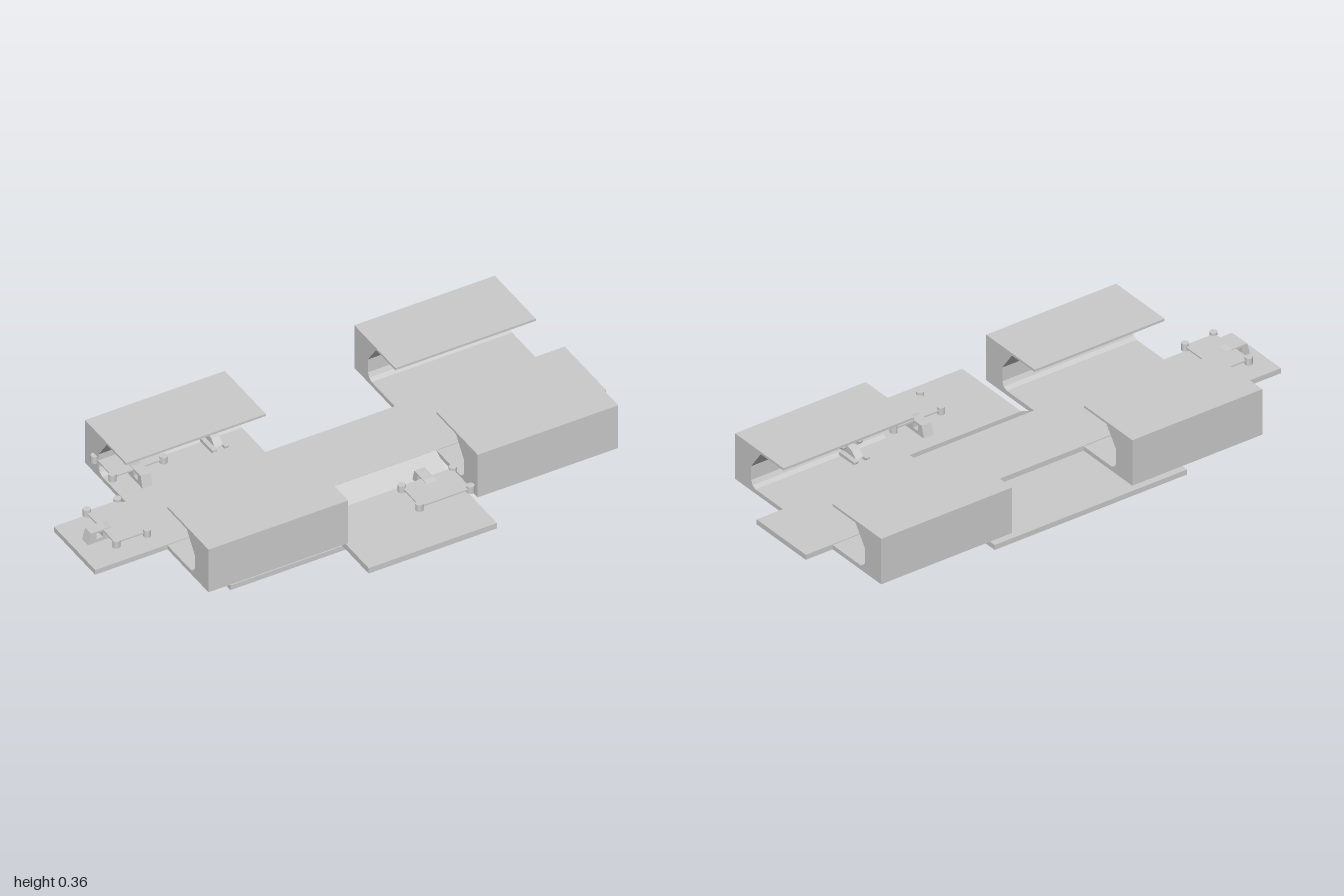
import * as THREE from 'three';

const mat = new THREE.MeshStandardMaterial({ color: 0xcccccc, flatShading: true });
const smooth = new THREE.MeshStandardMaterial({ color: 0xcccccc });

function add(parent, name, geometry, x = 0, y = 0, z = 0, material = mat) {
  const mesh = new THREE.Mesh(geometry, material);
  mesh.name = name;
  mesh.position.set(x, y, z);
  parent.add(mesh);
  return mesh;
}

// Box given by its limits
function slab(parent, name, x0, x1, y0, y1, z0, z1) {
  return add(parent, name, new THREE.BoxGeometry(x1 - x0, y1 - y0, z1 - z0),
    (x0 + x1) / 2, (y0 + y1) / 2, (z0 + z1) / 2);
}

// Profile of [z, y] points extruded along x, from x0 to x1
function prism(points, x0, x1) {
  const shape = new THREE.Shape(points.map(([z, y]) => new THREE.Vector2(z, y)));
  const g = new THREE.ExtrudeGeometry(shape, { depth: x1 - x0, bevelEnabled: false });
  g.rotateY(-Math.PI / 2);
  g.translate(x1, 0, 0);
  return g;
}

// Four-rotor flyer, nose towards +z
function makeDrone() {
  const drone = new THREE.Group();
  drone.name = 'drone';
  slab(drone, 'framePlate', -0.1, 0.1, 0.036, 0.042, -0.065, 0.065);
  const hole = new THREE.Path([[0.092, 0.014], [0.092, 0.037], [0.066, 0.037], [0.066, 0.014]]
    .map(([z, y]) => new THREE.Vector2(z, y)));
  const side = new THREE.Shape([[0.125, 0], [0.113, 0.045], [0.05, 0.045], [-0.01, 0.036],
    [-0.025, 0.014], [-0.012, 0]].map(([z, y]) => new THREE.Vector2(z, y)));
  side.holes.push(hole);
  const body = new THREE.ExtrudeGeometry(side, { depth: 0.04, bevelEnabled: false });
  body.rotateY(-Math.PI / 2);
  add(drone, 'body', body, 0.02);
  for (const x of [-0.1, 0.1]) {
    for (const z of [-0.06, 0.06]) {
      add(drone, 'rotorPod', new THREE.CylinderGeometry(0.014, 0.014, 0.028, 12), x, 0.038, z);
    }
  }
  return drone;
}

// Small shuttle, nose towards -z and twin engines at +z
function makeShuttle() {
  const shuttle = new THREE.Group();
  shuttle.name = 'shuttle';
  add(shuttle, 'hull', prism([[-0.038, 0.012], [0.045, 0.012], [0.05, 0.03], [0.02, 0.044],
    [-0.015, 0.036]], -0.016, 0.016));
  for (const s of [-1, 1]) {
    const engine = new THREE.CapsuleGeometry(0.013, 0.03, 5, 12);
    engine.rotateX(Math.PI / 2);
    add(shuttle, 'engine', engine, s * 0.034, 0.05, 0.025, smooth);
    slab(shuttle, 'engineStrut', s * 0.024 - 0.012, s * 0.024 + 0.012, 0.032, 0.046, 0.01, 0.035);
    add(shuttle, 'skid', prism([[-0.053, 0.008], [-0.048, 0.003], [0.03, 0], [0.04, 0.008],
      [0.03, 0.014], [-0.053, 0.014]], s * 0.024 - 0.009, s * 0.024 + 0.009));
  }
  return shuttle;
}

export function createModel() {
  const model = new THREE.Group();
  model.name = 'landingStation';

  // Base plate and long central deck
  slab(model, 'basePlate', -0.53, 0.28, 0, 0.02, -0.307, 0.178);
  slab(model, 'mainDeck', -1, 1, 0.178, 0.198, -0.205, 0.075);

  // Lower front platform with its ramp
  add(model, 'frontPlatform', prism([[0.485, 0.135], [0.485, 0.158], [0.148, 0.158],
    [0.075, 0.197], [0.075, 0.178], [0.122, 0.155], [0.122, 0.135]], -0.167, 0.335));

  // Four hangar bays, mirrored about the deck's centre line
  const bay = [[0.14, 0.178], [0.417, 0.178], [0.417, 0.36], [0.14, 0.36], [0.14, 0.351],
    [0.27, 0.351], [0.325, 0.275], [0.325, 0.22], [0.317, 0.203], [0.3, 0.195], [0.14, 0.195]];
  for (const [x0, x1] of [[-0.717, -0.17], [0.337, 0.887]]) {
    for (const s of [1, -1]) {
      const points = bay.map(([z, y]) => [s * z - 0.065, y]);
      add(model, 'hangarBay', prism(points, x0, x1));
    }
  }

  // Parked craft
  for (const [x, y, z, turn] of [[-0.835, 0.21, -0.063, -Math.PI / 2],
    [0.21, 0.188, 0.29, Math.PI], [-0.62, 0.207, -0.352, 0]]) {
    const drone = makeDrone();
    drone.position.set(x, y, z);
    drone.rotation.y = turn;
    model.add(drone);
  }
  for (const [x, z, turn] of [[0.5, 0.203, 0], [-0.3, -0.336, Math.PI]]) {
    const shuttle = makeShuttle();
    shuttle.position.set(x, 0.198, z);
    shuttle.rotation.y = turn;
    model.add(shuttle);
  }
  return model;
}
